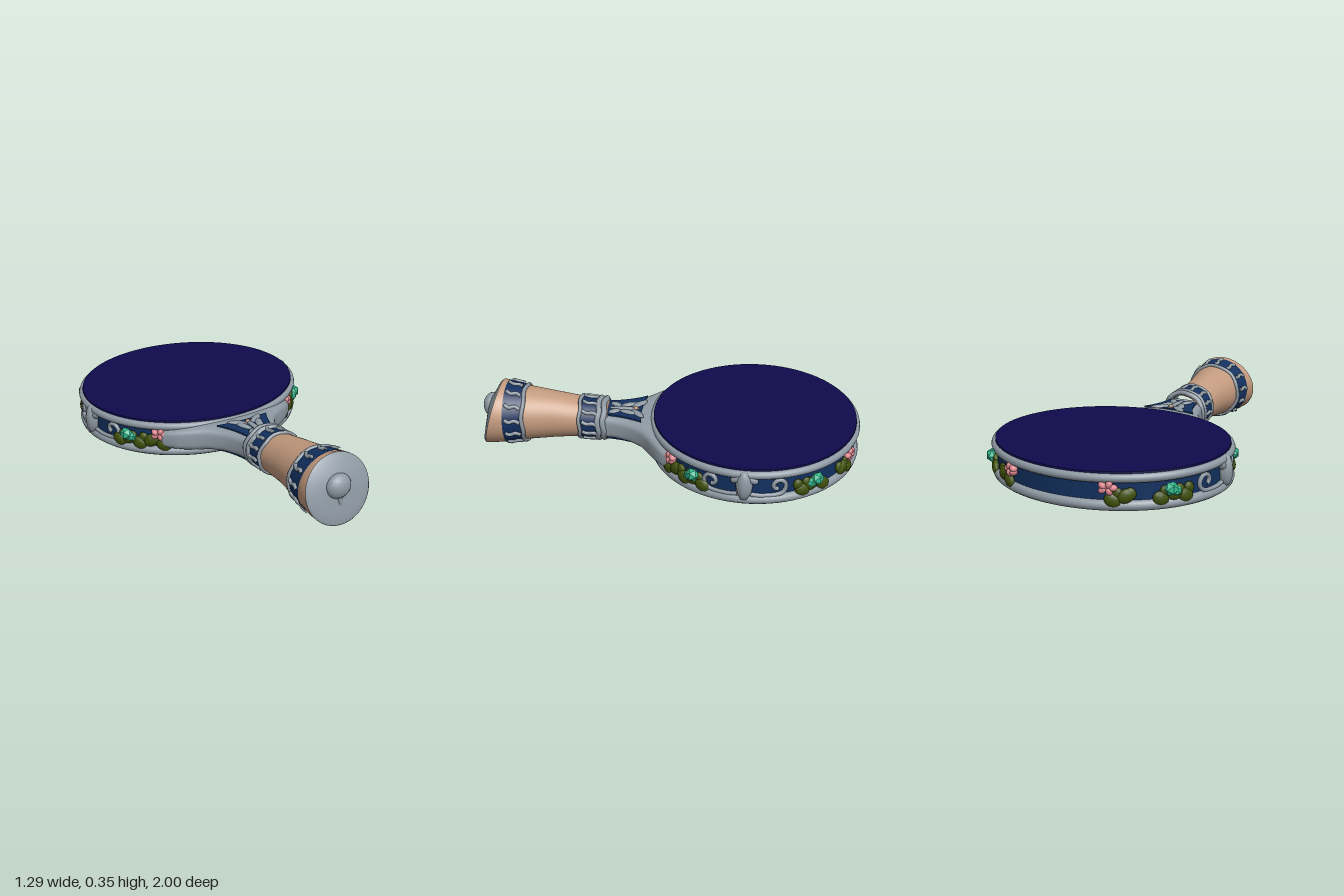
import * as THREE from 'three';

const mat = (name, color) => Object.assign(new THREE.MeshStandardMaterial({ color }), { name });
const M = {
  silver: mat('silver grey', 0x8f9aa4),
  navy: mat('navy face', 0x0e0b4c),
  slate: mat('slate back', 0x31344a),
  blue: mat('enamel blue', 0x12305f),
  tan: mat('tan grip', 0xc39a7e),
  pink: mat('rose pink', 0xd8838a),
  green: mat('leaf green', 0x40510c),
  teal: mat('jewel teal', 0x33bd92),
};
M.blue.side = THREE.DoubleSide;

const CZ = -0.45, SQ = 0.887; // head centre and its squash along z

function add(parent, name, geo, material, pos) {
  const m = new THREE.Mesh(geo, material);
  m.name = name;
  if (pos) m.position.copy(pos);
  parent.add(m);
  return m;
}

// Point on the head's side wall at angle a (0 = left side, positive to the front)
const onWall = (a, y, out = 0) => new THREE.Vector3(
  (0.592 + out) * Math.cos(a), y, CZ + (0.592 * SQ + out) * Math.sin(a));

// Handle rows: z, centre x, centre y, half width, half height
const handleRows = [
  [0.32, 0.01, 0.15, 0.108, 0.095], [0.38, 0.012, 0.15, 0.112, 0.102], [0.48, 0.015, 0.157, 0.114, 0.108],
  [0.6, 0.022, 0.165, 0.12, 0.124], [0.76, 0.028, 0.171, 0.148, 0.144], [0.86, 0.032, 0.174, 0.168, 0.162],
];
function handleRow(z) {
  let i = 0;
  while (i < handleRows.length - 2 && z > handleRows[i + 1][0]) i++;
  const a = handleRows[i], b = handleRows[i + 1], t = (z - a[0]) / (b[0] - a[0]);
  return a.map((v, k) => v + (b[k] - v) * t);
}
const onHandle = (z, t, out = 0) => {
  const [, cx, cy, rx, ry] = handleRow(z);
  return new THREE.Vector3(cx + (rx + out) * Math.cos(t), cy + (ry + out) * Math.sin(t), z);
};

// Skin through rows [z, cx, cy, rx, ry, slant]; power makes the section boxier
function loft(rows, power = 2, n = 48) {
  const pos = [], idx = [];
  const p = (v) => Math.sign(v) * Math.abs(v) ** (2 / power);
  rows.forEach(([z, cx, cy, rx, ry, slant = 0], i) => {
    for (let j = 0; j < n; j++) {
      const t = (j / n) * Math.PI * 2, dy = ry * p(Math.sin(t));
      pos.push(cx + rx * p(Math.cos(t)), cy + dy, z - slant * dy);
      if (i === rows.length - 1) continue;
      const a = i * n + j, b = i * n + (j + 1) % n;
      idx.push(a, b, a + n, b, b + n, a + n);
    }
  });
  const g = new THREE.BufferGeometry();
  g.setAttribute('position', new THREE.Float32BufferAttribute(pos, 3));
  g.setIndex(idx);
  g.computeVertexNormals();
  return g;
}

const tube = (pts, r, closed = false) =>
  new THREE.TubeGeometry(new THREE.CatmullRomCurve3(pts, closed), pts.length * 5, r, 7, closed);

function buildHead() {
  const head = new THREE.Group();
  head.name = 'head';
  const disc = new THREE.Group();
  disc.name = 'disc';
  disc.position.z = CZ;
  disc.scale.z = SQ;
  head.add(disc);
  add(disc, 'sideWall', new THREE.CylinderGeometry(0.592, 0.592, 0.14, 96, 1, true).translate(0, 0.118, 0), M.blue);
  add(disc, 'topRim', new THREE.TorusGeometry(0.598, 0.022, 10, 96).rotateX(Math.PI / 2).translate(0, 0.188, 0), M.silver);
  add(disc, 'topFace', new THREE.CylinderGeometry(0.598, 0.602, 0.03, 96).translate(0, 0.203, 0), M.navy);
  const tilt = (g) => g.rotateX(0.012);
  add(disc, 'bottomRim', tilt(new THREE.TorusGeometry(0.592, 0.026, 10, 96).rotateX(Math.PI / 2).translate(0, 0.051, 0)), M.silver);
  add(disc, 'bottomFace', tilt(new THREE.CylinderGeometry(0.59, 0.578, 0.02, 96).translate(0, 0.04, 0)), M.slate);

  for (const s of [1, -1]) {
    const side = new THREE.Group();
    side.name = s > 0 ? 'leftOrnaments' : 'rightOrnaments';
    head.add(side);
    const at = (a, y, out) => { const v = onWall(a, y, out); v.x *= s; return v; };
    const blob = (name, geo, material, a, y, out, size, roll = 0) => {
      const m = add(side, name, geo, material, at(a, y, out));
      m.scale.set(...size);
      const yaw = Math.PI / 2 - a;
      m.rotation.set(0, s * yaw, roll, 'YXZ');
    };
    const ball = new THREE.SphereGeometry(1, 12, 8);

    // Crest at the widest point, with paired scrolls
    blob('crest', new THREE.SphereGeometry(1, 8, 6), M.silver, 0.06, 0.13, 0.012, [0.042, 0.082, 0.04]);
    for (const d of [1, -1]) {
      blob('crestWing', ball, M.silver, 0.06 + d * 0.07, 0.165, 0.01, [0.035, 0.02, 0.02], d * 0.6);
      const c = 0.06 + d * 0.31, pts = [at(0.06 + d * 0.06, 0.08, 0.008), at(0.06 + d * 0.16, 0.075, 0.008)];
      for (let i = 0; i < 9; i++) {
        const t = -1.3 + i * 0.75, r = 1 - i * 0.085;
        pts.push(at(c + d * 0.085 * r * Math.cos(t), 0.125 + 0.045 * r * Math.sin(t), 0.008));
      }
      add(side, 'scroll', tube(pts, 0.011), M.silver);
    }

    // Flower clusters: [teal angle, rose angle, leaf angles]
    const clusters = [
      [0.55, 0.86, [0.46, 0.56, 0.67, 0.78, 0.9]],
      [-0.62, -1.12, [-0.48, -0.57, -0.7, -0.98, -1.08]],
    ];
    for (const [teal, rose, leaves] of clusters) {
      leaves.forEach((a, i) => {
        blob('leaf', ball, M.green, a, 0.085 + (i % 2) * 0.02, 0.012, [0.042, 0.034, 0.02], i % 2 ? 0.5 : -0.5);
        blob('leafTip', ball, M.green, a + 0.04, 0.115, 0.008, [0.026, 0.03, 0.016], 0.3);
      });
      const gem = new THREE.IcosahedronGeometry(1, 0);
      blob('tealBloom', gem, M.teal, teal, 0.13, 0.025, [0.036, 0.036, 0.03]);
      blob('tealPetal', gem, M.teal, teal + 0.05, 0.115, 0.02, [0.028, 0.025, 0.024], 0.5);
      for (let i = 0; i < 5; i++) {
        const t = i * Math.PI * 0.4;
        blob('rosePetal', ball, M.pink, rose + 0.045 * Math.cos(t), 0.145 + 0.017 * Math.sin(t), 0.014, [0.021, 0.016, 0.02], t);
      }
    }
    // Small pale buds beside the throat
    blob('bud', ball, M.silver, 1.02, 0.135, 0.004, [0.014, 0.012, 0.01]);
  }
  return head;
}

function buildThroat() {
  const g = new THREE.Group();
  g.name = 'throat';
  add(g, 'throatBody', loft([
    [-0.06, 0, 0.12, 0.40, 0.06], [0.0, 0, 0.122, 0.385, 0.068], [0.05, 0, 0.125, 0.325, 0.072], [0.09, 0, 0.13, 0.265, 0.072],
    [0.13, 0.002, 0.135, 0.21, 0.07], [0.2, 0.005, 0.138, 0.157, 0.067], [0.28, 0.008, 0.14, 0.122, 0.066], [0.36, 0.01, 0.142, 0.11, 0.068],
  ], 4), M.silver);
  // Blue inlay above and below, with a leafy sprig on each
  const shape = new THREE.Shape();
  shape.moveTo(-0.15, 0.135);
  shape.quadraticCurveTo(0, 0.16, 0.15, 0.135);
  shape.quadraticCurveTo(0.1, 0.22, 0.09, 0.33);
  shape.lineTo(-0.075, 0.33);
  shape.quadraticCurveTo(-0.09, 0.22, -0.15, 0.135);
  const plate = new THREE.ExtrudeGeometry(shape, { depth: 0.008, bevelEnabled: false }).rotateX(Math.PI / 2);
  for (const y of [0.21, 0.075]) {
    add(g, 'throatInlay', plate, M.blue, new THREE.Vector3(0, y, 0));
    const yy = y > 0.1 ? y : y - 0.008;
    const stem = add(g, 'sprigStem', new THREE.SphereGeometry(1, 12, 8), M.silver, new THREE.Vector3(0.012, yy, 0.24));
    stem.scale.set(0.016, 0.01, 0.085);
    add(g, 'sprigHeart', new THREE.SphereGeometry(0.014, 10, 8), M.tan, new THREE.Vector3(0.01, yy, 0.18));
    for (const s of [1, -1]) {
      for (const [x, z, len, turn] of [[0.055, 0.165, 0.055, 0.9], [0.045, 0.215, 0.05, 0.35], [0.04, 0.29, 0.035, -0.6]]) {
        const leaf = add(g, 'sprigLeaf', new THREE.SphereGeometry(1, 12, 8), M.silver, new THREE.Vector3(0.01 + s * x, yy, z));
        leaf.scale.set(0.02, 0.011, len);
        leaf.rotation.y = -s * turn;
      }
    }
  }
  return g;
}

function buildHandle() {
  const g = new THREE.Group();
  g.name = 'handle';
  add(g, 'grip', loft([...handleRows, [0.9, 0.033, 0.175, 0.18, 0.168, 0.15], [0.935, 0.034, 0.175, 0.181, 0.17, 0.27]]), M.tan);
  // Slanted end cap with an off-centre knob
  add(g, 'endCap', loft([
    [0.935, 0.034, 0.175, 0.181, 0.17, 0.27], [0.945, 0.034, 0.175, 0.17, 0.16, 0.27],
    [0.954, 0.034, 0.177, 0.13, 0.12, 0.25], [0.963, 0.032, 0.182, 0.08, 0.075, 0.2], [0.966, 0.03, 0.185, 0.001, 0.001],
  ]), M.silver);
  const knob = add(g, 'endKnob', new THREE.SphereGeometry(1, 20, 12), M.silver, new THREE.Vector3(0.02, 0.205, 0.955));
  knob.scale.set(0.068, 0.063, 0.045);
  add(g, 'endRidge', tube([[0.02, 0.19, 0.96], [0.025, 0.13, 0.967], [0.03, 0.07, 0.96]].map((p) => new THREE.Vector3(...p)), 0.014), M.silver);

  // Blue bands edged by silver rings and wrapped with slanting leaves
  const ring = (z, r) => {
    const pts = Array.from({ length: 24 }, (_, i) => onHandle(z + 0.004 * Math.sin(i * Math.PI / 2), i * Math.PI / 12, 0.004));
    add(g, 'ring', tube(pts, r, true), M.silver);
  };
  const band = (z0, z1, n) => {
    const rows = [z0, (z0 + z1) / 2, z1].map((z) => { const r = handleRow(z); r[3] += 0.004; r[4] += 0.004; return r; });
    add(g, 'blueBand', loft(rows), M.blue);
    for (let i = 0; i < n; i++) {
      const t = (i / n) * Math.PI * 2, w = 3.6 / n, d = z1 - z0;
      const pts = [0.1, 0.35, 0.65, 0.9].map((k) => onHandle(z0 + d * k, t + w * k + 0.08 * Math.sin(k * 6.28), 0.007));
      add(g, 'bandLeaf', tube(pts, 0.01), M.silver);
    }
  };
  band(0.36, 0.465, 12);
  band(0.765, 0.862, 13);
  ring(0.342, 0.016);
  ring(0.37, 0.015);
  ring(0.468, 0.01);
  ring(0.762, 0.011);
  return g;
}

export function createModel() {
  const model = new THREE.Group();
  model.name = 'paddle';
  model.add(buildHead(), buildThroat(), buildHandle());
  return model;
}
